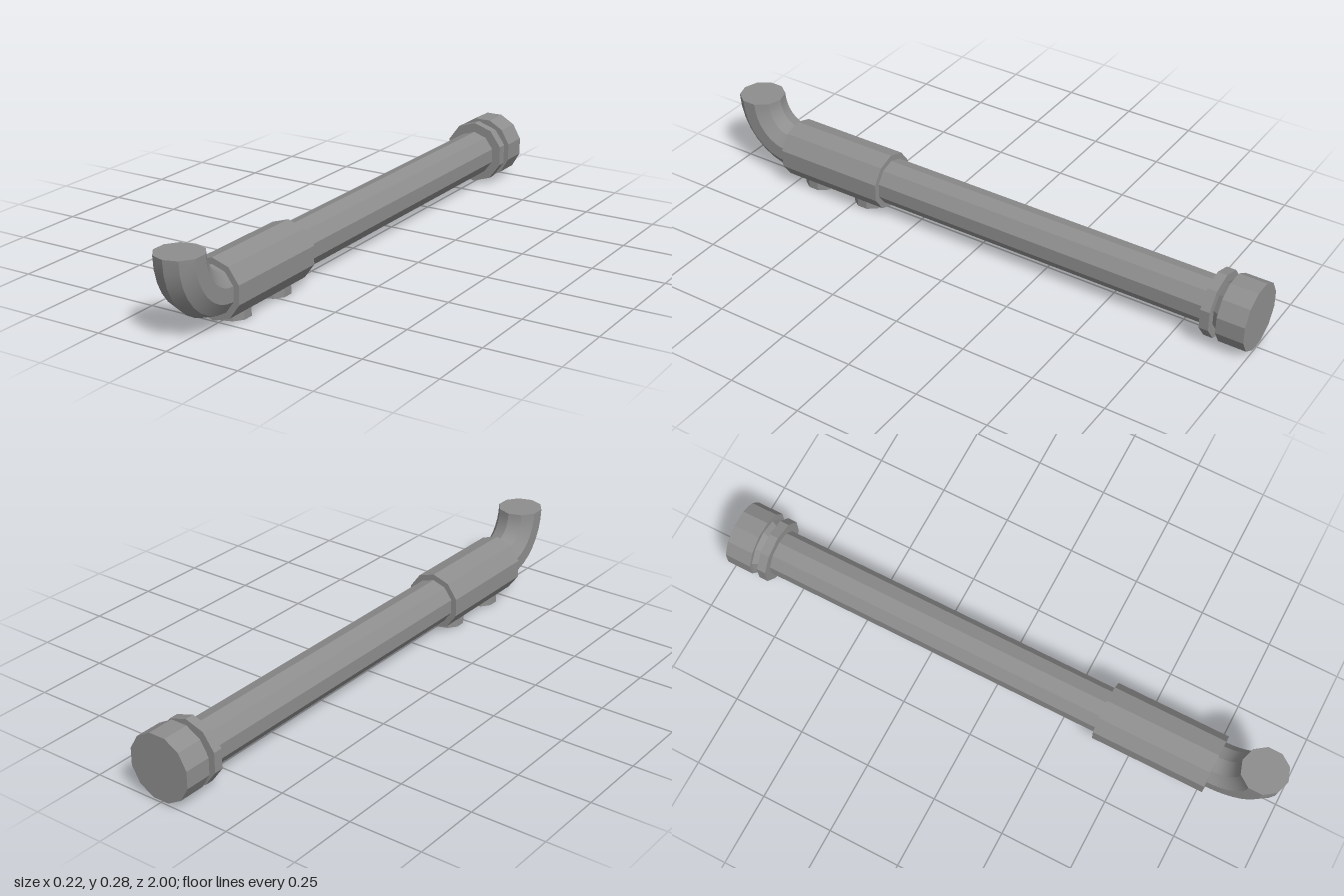
import * as THREE from 'three';
import { toCreasedNormals } from 'three/addons/utils/BufferGeometryUtils.js';

const material = new THREE.MeshStandardMaterial({ color: 0x8e8e8e });
const AXIS_X = -0.003, AXIS_Y = 0.112, SIDES = 10;

export function createModel() {
  const group = new THREE.Group();

  // Facets around a part stay sharp; shallow bends along it are smooth
  function add(name, geometry, x, y, z) {
    const mesh = new THREE.Mesh(toCreasedNormals(geometry, 0.5), material);
    mesh.name = name;
    mesh.position.set(x, y, z);
    group.add(mesh);
    return mesh;
  }

  // Faceted cylinder lying along z, from zBack to zFront
  function ring(name, zBack, zFront, rFront, rBack = rFront, { sides = SIDES, x = AXIS_X, y = AXIS_Y } = {}) {
    const geometry = new THREE.CylinderGeometry(rFront, rBack, zFront - zBack, sides);
    geometry.rotateX(Math.PI / 2);
    return add(name, geometry, x, y, (zBack + zFront) / 2);
  }

  // Long pipe and the sleeve around its front end
  ring('pipe', -0.9, 0.775, 0.079);
  ring('sleeve', 0.373, 0.77, 0.1);

  // Flange, tapered neck and end cap at the back
  ring('flange', -0.88, -0.848, 0.111, 0.111, { x: -0.002, y: 0.114 });
  ring('neck', -0.908, -0.878, 0.08, 0.1);
  const cap = ring('endCap', -1, -0.906, 0.113, 0.113, { sides: 12, x: 0, y: 0.116 });
  cap.rotation.z = Math.PI / 12; // flats on both sides

  // Elbow: a unit cylinder bent through a quarter turn upward
  const elbow = new THREE.CylinderGeometry(0.079, 0.079, 1, SIDES, 8);
  elbow.rotateX(Math.PI / 2).translate(0, 0, 0.5);
  const p = elbow.attributes.position;
  for (let i = 0; i < p.count; i++) {
    const a = p.getZ(i) * Math.PI / 2, y = p.getY(i);
    p.setY(i, 0.165 * (1 - Math.cos(a)) + y * Math.cos(a));
    p.setZ(i, (0.151 - y) * Math.sin(a));
  }
  add('elbow', elbow, AXIS_X, AXIS_Y, 0.77);

  // Two round studs under the sleeve
  for (const z of [0.673, 0.462]) {
    add('stud', new THREE.CylinderGeometry(0.059, 0.059, 0.06, SIDES), AXIS_X, 0.03, z);
  }

  return group;
}
